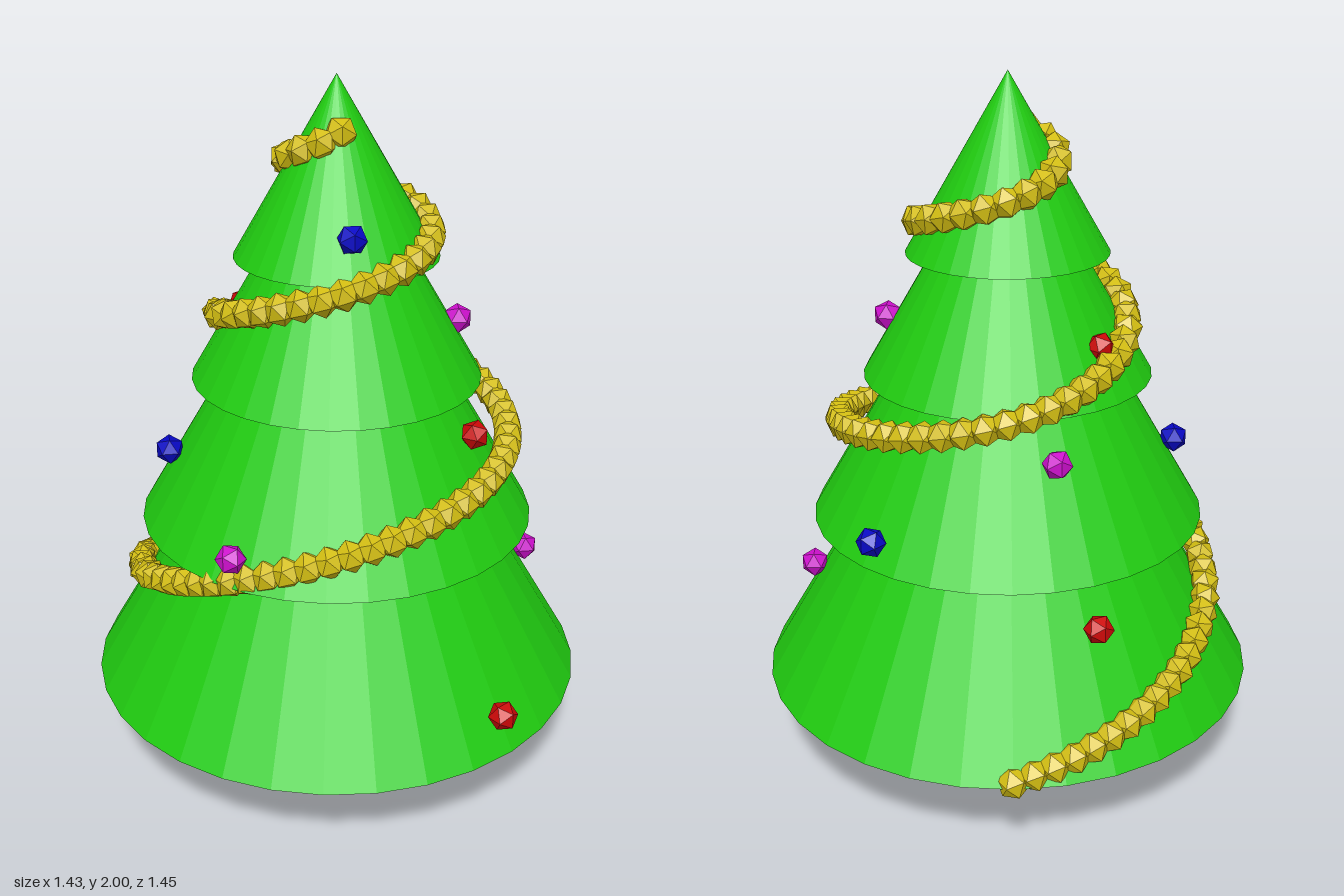
import * as THREE from 'three';
import { mergeGeometries } from 'three/addons/utils/BufferGeometryUtils.js';

function mat(name, color, flat = true) {
  const m = new THREE.MeshStandardMaterial({ color, flatShading: flat });
  m.name = name;
  return m;
}

export function createModel() {
  const green = mat('needleGreen', 0x20cc10);
  const brown = mat('barkBrown', 0x754636);
  const gold = mat('garlandGold', 0xd2bd12);
  const red = mat('baubleRed', 0xcc0808);
  const blue = mat('baubleBlue', 0x0808c4);
  const magenta = mat('baubleMagenta', 0xcc10cc);

  const tree = new THREE.Group();
  tree.name = 'decoratedTree';
  const CZ = 0.006; // trunk axis sits slightly forward

  function add(name, geometry, material, x, y, z) {
    const mesh = new THREE.Mesh(geometry, material);
    mesh.name = name;
    mesh.position.set(x, y, z);
    tree.add(mesh);
    return mesh;
  }

  // Ten-sided trunk
  add('trunk', new THREE.CylinderGeometry(0.19, 0.19, 0.3, 10), brown, 0, 0.15, CZ);

  // Four overlapping cones: [base height, base radius, apex height]
  const tiers = [[0.265, 0.714, 1.49], [0.755, 0.561, 1.72], [1.172, 0.405, 1.87], [1.515, 0.281, 2]];
  tiers.forEach(([base, radius, apex], i) => {
    const h = apex - base;
    add(`branchTier${i + 1}`, new THREE.ConeGeometry(radius, h, 32), green, 0, base + h / 2, CZ);
  });

  // Garland path, one [radius, height] per quarter turn, starting in front
  const stops = [
    [0.07, 1.86], [0.125, 1.79], [0.19, 1.695], [0.248, 1.6], [0.272, 1.5], [0.32, 1.36],
    [0.42, 1.175], [0.48, 1.03], [0.505, 0.875], [0.57, 0.585], [0.69, 0.272],
  ];
  const profile = new THREE.CatmullRomCurve3(stops.map(([r, y], i) => new THREE.Vector3(r, y, i)));
  const spiral = [];
  for (let i = 0; i <= 80; i++) {
    const p = profile.getPoint(i / 80);
    const a = p.z * Math.PI / 2;
    spiral.push(new THREE.Vector3(-Math.sin(a) * p.x, p.y, Math.cos(a) * p.x));
  }
  const path = new THREE.CatmullRomCurve3(spiral);

  // Faceted beads strung along the path, each turned to follow it
  const beads = [];
  const count = Math.round(path.getLength() / 0.057);
  path.arcLengthDivisions = 800;
  path.updateArcLengths();
  const along = new THREE.Vector3(0, 0, 1);
  for (let i = 0; i <= count; i++) {
    const bead = new THREE.IcosahedronGeometry(0.046, 0);
    const q = new THREE.Quaternion().setFromUnitVectors(along, path.getTangentAt(i / count));
    const p = path.getPointAt(i / count);
    bead.applyQuaternion(q).translate(p.x, p.y, p.z);
    beads.push(bead);
  }
  add('garland', mergeGeometries(beads), gold, 0, 0, CZ);

  // Hanging baubles
  const baubles = [
    [blue, 0.005, 1.627, 0.243], [blue, -0.476, 0.96, 0], [blue, 0.37, 0.838, -0.41],
    [magenta, 0.335, 1.323, 0.036], [magenta, -0.343, 0.836, 0.432],
    [magenta, 0.573, 0.565, 0.005], [magenta, -0.12, 1.057, -0.41],
    [red, 0.343, 1.064, 0.251], [red, 0.37, 0.376, 0.585],
    [red, -0.24, 1.31, -0.215], [red, -0.23, 0.624, -0.508],
  ];
  const ball = new THREE.IcosahedronGeometry(0.042, 0);
  baubles.forEach(([material, x, y, z], i) => {
    const b = add(`bauble${i + 1}`, ball, material, x, y, z);
    b.rotation.y = Math.atan2(x, z);
  });

  return tree;
}
